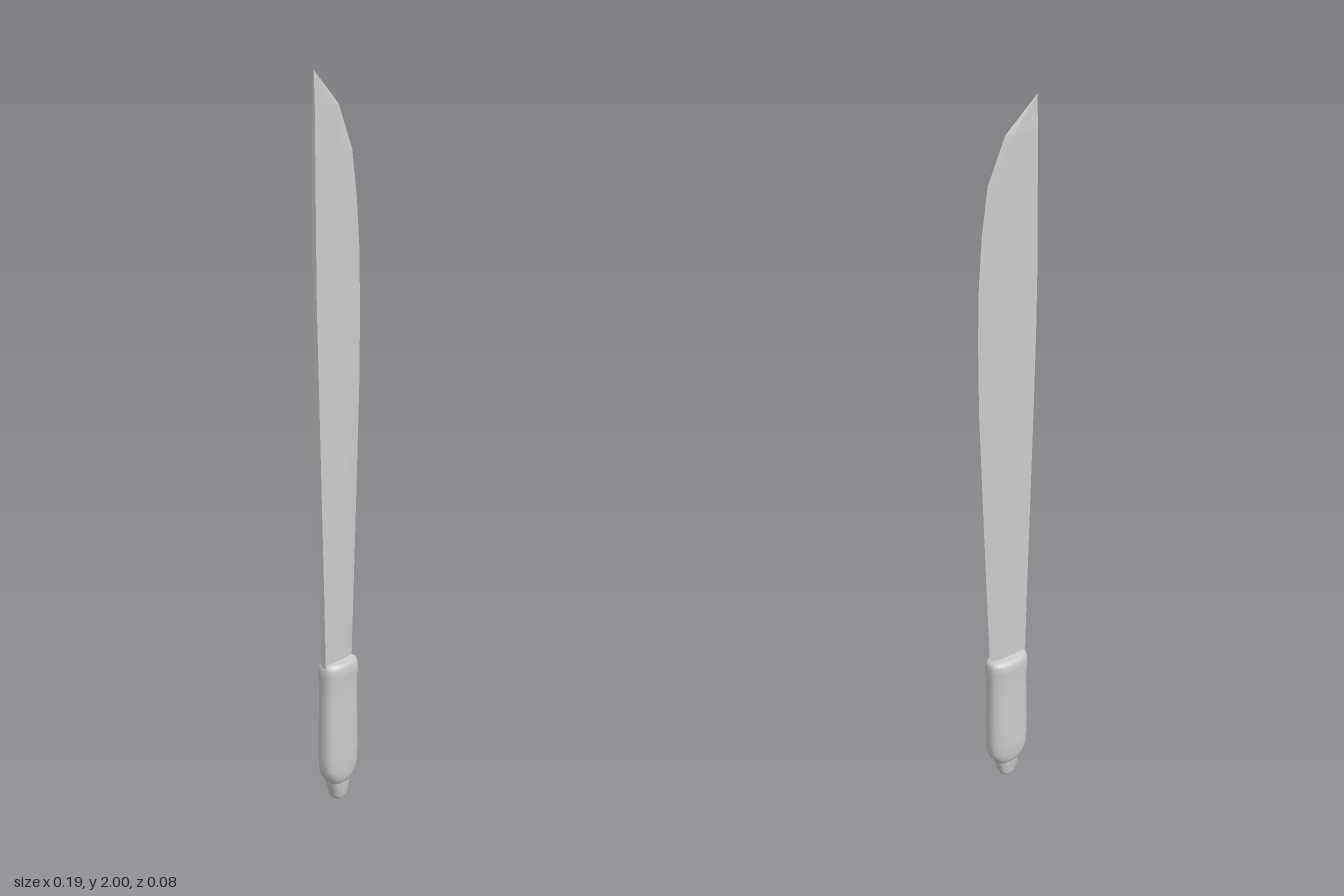
import * as THREE from 'three';

// Skin a stack of closed rings (each counted from +x towards +z), bottom to top
function loft(rings) {
  const n = rings[0].length, index = [];
  for (let j = 0; j < rings.length - 1; j++) {
    for (let i = 0; i < n; i++) {
      const a = j * n + i, b = j * n + (i + 1) % n;
      index.push(a, a + n, b, b, a + n, b + n);
    }
  }
  const geo = new THREE.BufferGeometry();
  geo.setAttribute('position', new THREE.Float32BufferAttribute(rings.flat(2), 3));
  geo.setIndex(index);
  geo.computeVertexNormals();
  return geo;
}

// Rounded, slightly squared oval ring
function oval(y, hx, hz, cx = 0, sides = 32) {
  const round = (v) => Math.sign(v) * Math.abs(v) ** 0.8;
  return Array.from({ length: sides }, (_, i) => {
    const a = (i / sides) * Math.PI * 2;
    return [cx + hx * round(Math.cos(a)), y, hz * round(Math.sin(a))];
  });
}

export function createModel() {
  const group = new THREE.Group();
  const add = (name, geo, flatShading) => {
    const mesh = new THREE.Mesh(geo, new THREE.MeshStandardMaterial({ color: 0xcccccc, flatShading }));
    mesh.name = name;
    group.add(mesh);
  };

  // Blade: height, spine x, ridge x, edge x, half thickness
  const bladeRows = [
    [0.38, -0.062, 0.02, 0.058, 0.008],
    [0.60, -0.068, 0.02, 0.067, 0.008],
    [0.90, -0.078, 0.022, 0.079, 0.008],
    [1.20, -0.088, 0.024, 0.09, 0.008],
    [1.40, -0.094, 0.024, 0.091, 0.007],
    [1.55, -0.096, 0.022, 0.087, 0.007],
    [1.68, -0.096, 0.018, 0.076, 0.006],
    [1.80, -0.096, 0.01, 0.057, 0.005],
    [1.915, -0.096, -0.02, 0.003, 0.004],
    [2.00, -0.096, -0.096, -0.096, 0.001],
  ];
  add('blade', loft(bladeRows.map(([y, spine, ridge, edge, t]) => [
    [edge, y, 0], [ridge, y, t], [spine, y, t], [spine, y, -t], [ridge, y, -t],
  ])), true);

  // Grip: height, half width, half depth, x offset
  const gripRows = [
    [0.05, 0, 0], [0.05, 0.03, 0.02], [0.055, 0.041, 0.027], [0.068, 0.047, 0.031],
    [0.08, 0.058, 0.034], [0.1, 0.065, 0.036], [0.14, 0.067, 0.037],
    [0.22, 0.067, 0.037], [0.3, 0.065, 0.035], [0.35, 0.065, 0.035], [0.38, 0.067, 0.039],
    [0.4, 0.066, 0.038], [0.411, 0.062, 0.034], [0.415, 0.054, 0.027], [0.415, 0, 0],
  ];
  add('grip', loft(gripRows.map((r) => oval(...r))), false);

  // Pommel: tapered stub under the grip
  const pommelRows = [
    [0, 0, 0], [0, 0.015, 0.013], [0.004, 0.022, 0.019], [0.015, 0.028, 0.021],
    [0.035, 0.033, 0.024], [0.05, 0.038, 0.026], [0.062, 0.04, 0.027], [0.062, 0, 0],
  ];
  add('pommel', loft(pommelRows.map((r) => oval(...r))), false);

  return group;
}
